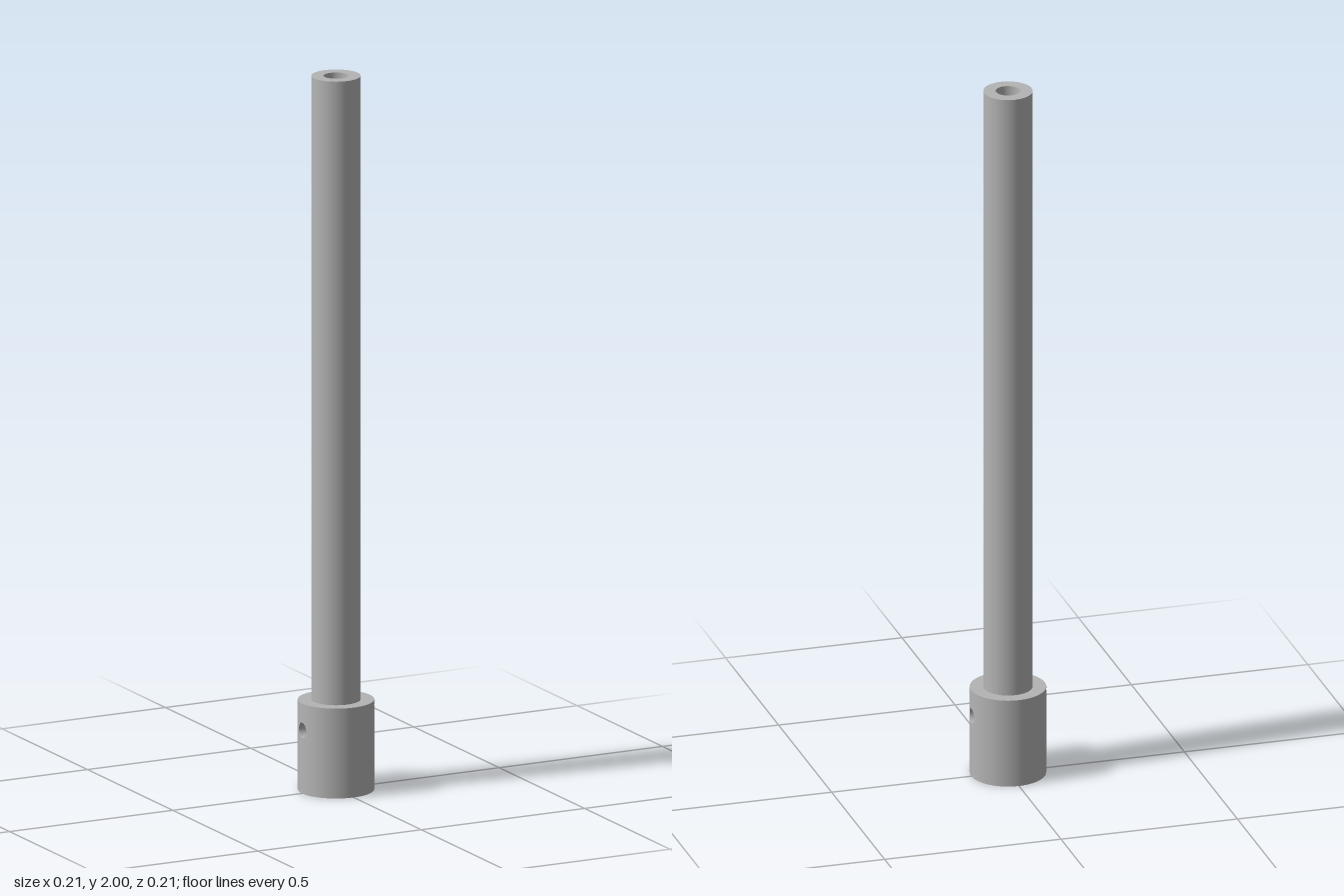
import * as THREE from 'three';

const TOP = 2, TUBE_R = 0.067, BORE_R = 0.0335;
const COLLAR_R = 0.104, COLLAR_H = 0.252, SOCKET_R = 0.042;
const HOLE_R = 0.0215, HOLE_Y = 0.177;
const SEG = 64;

// Smooth surface over a grid; its front faces d/da x d/db. fn returns [position, normal].
function gridSurface(na, nb, fn) {
  const pos = [], nor = [], idx = [];
  for (let i = 0; i <= na; i++) {
    for (let j = 0; j <= nb; j++) {
      const [p, n] = fn(i / na, j / nb);
      pos.push(...p);
      nor.push(...n);
      if (i < na && j < nb) {
        const a = i * (nb + 1) + j, b = a + nb + 1;
        idx.push(a, b, b + 1, a, b + 1, a + 1);
      }
    }
  }
  const g = new THREE.BufferGeometry();
  g.setAttribute('position', new THREE.Float32BufferAttribute(pos, 3));
  g.setAttribute('normal', new THREE.Float32BufferAttribute(nor, 3));
  g.setIndex(idx);
  return g;
}

// Counter-clockwise walk round the half wall's unrolled outline: [angle, height]
function outline(s) {
  const side = Math.min(3, Math.floor(s * 4 + 1e-9)), f = s * 4 - side, h = Math.PI / 2;
  if (side === 0) return [-h + 2 * h * f, 0];
  if (side === 1) return [h, COLLAR_H * f];
  if (side === 2) return [h - 2 * h * f, COLLAR_H];
  return [-h, COLLAR_H * (1 - f)];
}

// Half of a cylinder wall, pierced by the cross hole
function piercedHalfWall(r, inward) {
  const point = (k, s) => {
    const [th, y] = outline(s);
    const t = Math.atan2(y - HOLE_Y, th * r);
    const holeTh = Math.asin(HOLE_R * Math.cos(t) / r);
    const holeY = HOLE_Y + HOLE_R * Math.sin(t);
    const a = holeTh + (th - holeTh) * k, v = holeY + (y - holeY) * k;
    const c = Math.cos(a), z = -Math.sin(a), d = inward ? -1 : 1;
    return [[r * c, v, r * z], [d * c, 0, d * z]];
  };
  return inward
    ? gridSurface(96, 14, (s, k) => point(k, s))
    : gridSurface(14, 96, point);
}

// Lining of the cross hole from the outer wall to the socket
function holeLining() {
  return gridSurface(48, 1, (s, k) => {
    const t = s * Math.PI * 2, u = HOLE_R * Math.cos(t);
    const r = k ? SOCKET_R : COLLAR_R;
    return [
      [Math.sqrt(r * r - u * u), HOLE_Y + HOLE_R * Math.sin(t), -u],
      [0, -Math.sin(t), Math.cos(t)],
    ];
  });
}

// One revolved band between two profile points, so every rim stays sharp
const band = (r0, y0, r1, y1) =>
  new THREE.LatheGeometry([new THREE.Vector2(r0, y0), new THREE.Vector2(r1, y1)], SEG);

export function createModel() {
  const steel = new THREE.MeshStandardMaterial({ color: 0xb4b4b4 });
  steel.name = 'grey steel';

  const model = new THREE.Group();
  model.name = 'collaredTube';
  const tube = new THREE.Group();
  tube.name = 'tube';
  const collar = new THREE.Group();
  collar.name = 'collar';
  model.add(tube, collar);

  const add = (group, name, geometry) => {
    const mesh = new THREE.Mesh(geometry, steel);
    mesh.name = name;
    group.add(mesh);
    return mesh;
  };

  // Long hollow tube
  add(tube, 'tubeWall', band(TUBE_R, COLLAR_H, TUBE_R, TOP));
  add(tube, 'tubeTopRim', band(TUBE_R, TOP, BORE_R, TOP));
  add(tube, 'tubeBore', band(BORE_R, TOP, BORE_R, COLLAR_H));

  // Collar end faces and the ledge where the socket meets the bore
  add(collar, 'collarShoulder', band(COLLAR_R, COLLAR_H, TUBE_R, COLLAR_H));
  add(collar, 'socketLedge', band(BORE_R, COLLAR_H, SOCKET_R, COLLAR_H));
  add(collar, 'collarBottom', band(SOCKET_R, 0, COLLAR_R, 0));

  // Pierced walls, one half for each side
  for (const [side, turn] of [['left', 0], ['right', Math.PI]]) {
    add(collar, side + 'CollarWall', piercedHalfWall(COLLAR_R, false)).rotation.y = turn;
    add(collar, side + 'SocketWall', piercedHalfWall(SOCKET_R, true)).rotation.y = turn;
    add(collar, side + 'CrossHole', holeLining()).rotation.y = turn;
  }
  return model;
}
